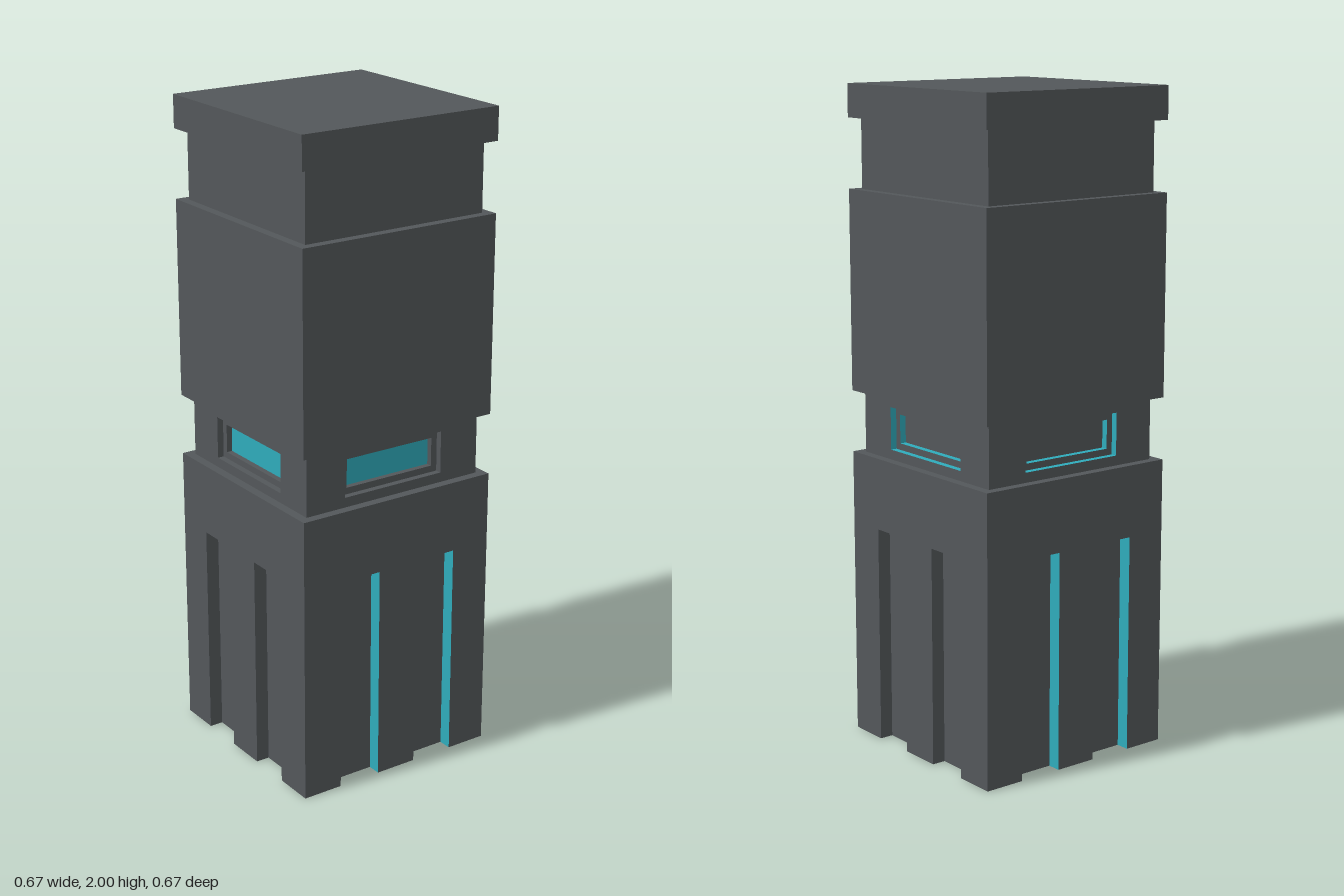
import * as THREE from 'three';

export function createModel() {
  const grey = new THREE.MeshStandardMaterial({ color: 0x53575a });
  grey.name = 'darkGrey';
  const teal = new THREE.MeshStandardMaterial({ color: 0x2fabbb });
  teal.name = 'teal';

  const W = 0.333;    // half width of the wide tiers
  const N = 0.305;    // half width of the narrow tiers
  const IN = 0.205;   // outer edge of the grooves, also the half width of the base core
  const RIB = 0.067;  // inner edge of the grooves
  const GROOVE_TOP = 0.67;
  const BACK = 0.265; // depth of the window panels

  const model = new THREE.Group();
  model.name = 'tower';

  // box given by its limits on each axis
  function box(parent, name, [x0, x1], [y0, y1], [z0, z1], material = grey) {
    const mesh = new THREE.Mesh(new THREE.BoxGeometry(x1 - x0, y1 - y0, z1 - z0), material);
    mesh.position.set((x0 + x1) / 2, (y0 + y1) / 2, (z0 + z1) / 2);
    mesh.name = name;
    parent.add(mesh);
    return mesh;
  }
  const tier = (name, half, y0, y1) => box(model, name, [-half, half], [y0, y1], [-half, half]);

  // stacked tiers
  tier('baseCore', IN, 0, GROOVE_TOP);
  tier('baseTop', W, GROOVE_TOP, 0.89);
  tier('windowBandCore', BACK, 0.89, 1.08);
  tier('upperBlock', W, 1.08, 1.69);
  tier('upperNeck', N, 1.69, 1.9);
  tier('cap', W, 1.9, 2);

  // rectangular frame around a window opening
  function windowFrame(halfW, y0, y1, z, wallMaterial) {
    const shape = new THREE.Shape([
      new THREE.Vector2(-BACK, 0.89), new THREE.Vector2(BACK, 0.89),
      new THREE.Vector2(BACK, 1.08), new THREE.Vector2(-BACK, 1.08),
    ]);
    shape.holes.push(new THREE.Path([
      new THREE.Vector2(-halfW, y0), new THREE.Vector2(-halfW, y1),
      new THREE.Vector2(halfW, y1), new THREE.Vector2(halfW, y0),
    ]));
    const geometry = new THREE.ExtrudeGeometry(shape, { depth: 0.02, bevelEnabled: false });
    const mesh = new THREE.Mesh(geometry, [grey, wallMaterial]);
    mesh.position.z = z;
    mesh.name = 'windowFrame';
    return mesh;
  }

  // each groove has one teal wall, the -x face of the post or rib beside it
  const tealWall = [grey, teal, grey, grey, grey, grey];
  const panelMaterial = grey.clone();
  panelMaterial.name = 'grooveGrey';
  panelMaterial.side = THREE.DoubleSide;

  // four sides, turned about y: front, left, back, right
  ['front', 'left', 'back', 'right'].forEach((label, i) => {
    const side = new THREE.Group();
    side.name = label + 'Side';
    side.rotation.y = i * Math.PI / 2;
    model.add(side);

    box(side, 'cornerPost', [IN, W], [0, GROOVE_TOP], [IN, W], tealWall);
    box(side, 'rib', [-RIB, RIB], [0, GROOVE_TOP], [IN, W], tealWall);

    // recessed backs of the two grooves
    for (const s of [-1, 1]) {
      const back = new THREE.Mesh(new THREE.PlaneGeometry(IN - RIB, GROOVE_TOP), panelMaterial);
      back.position.set(s * (IN + RIB) / 2, GROOVE_TOP / 2, 0.291);
      back.name = 'grooveBack';
      side.add(back);
    }

    // stepped window: teal panel on front and right of turn, teal walls on the others
    const tealPanel = i === 0 || i === 3;
    const walls = tealPanel ? grey : teal;
    box(side, 'bandCorner', [BACK, N], [0.89, 1.08], [BACK, N]);
    side.add(windowFrame(0.172, 0.92, 1.05, 0.285, walls));
    side.add(windowFrame(0.152, 0.94, 1.028, 0.265, walls));
    if (tealPanel) {
      box(side, 'windowPanel', [-0.152, 0.152], [0.94, 1.028], [BACK, BACK + 0.002], teal);
    }
  });

  return model;
}
